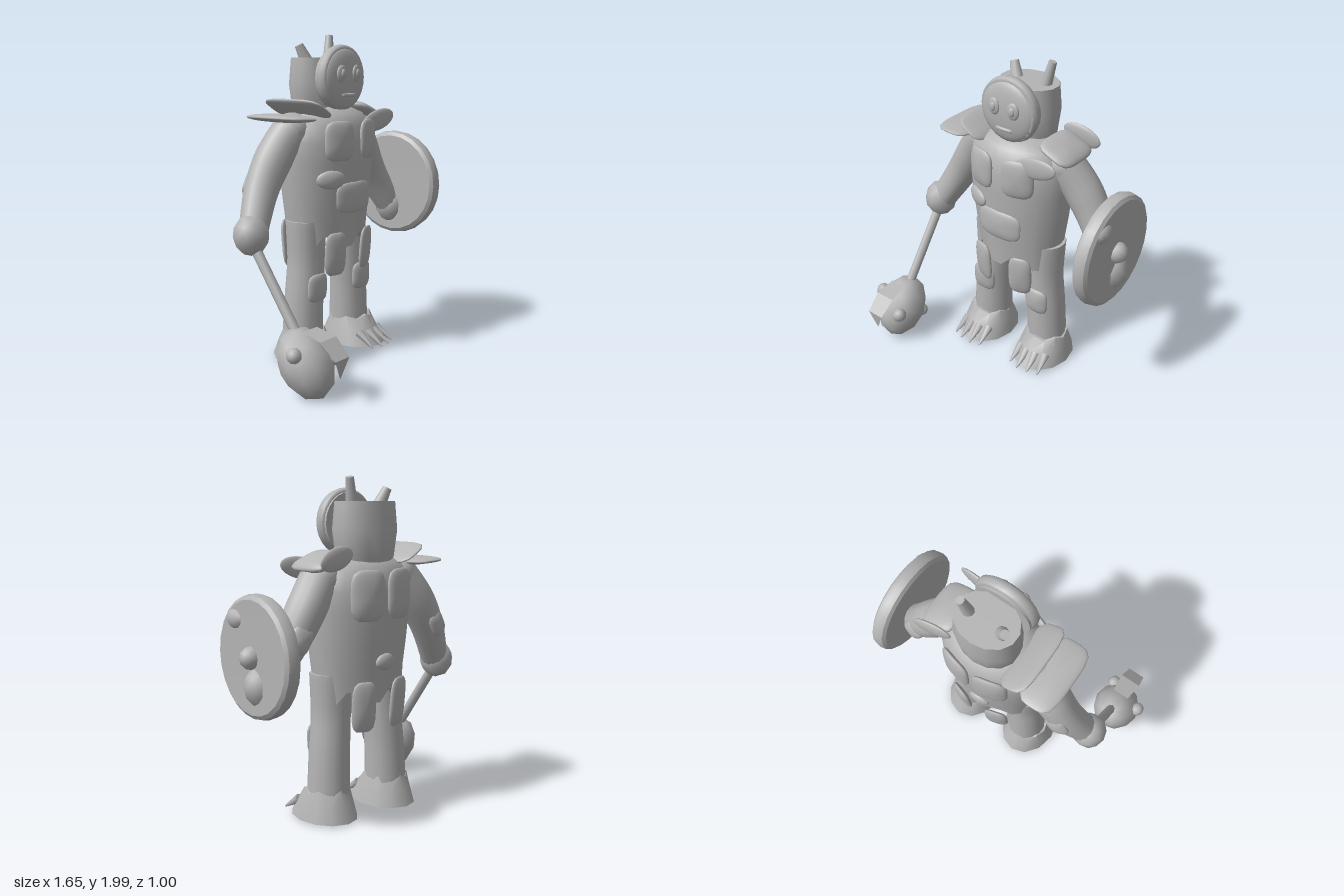
import * as THREE from 'three';
import { mergeVertices, toCreasedNormals } from 'three/addons/utils/BufferGeometryUtils.js';

const grey = new THREE.MeshStandardMaterial({ color: 0xb4b4b4, side: THREE.DoubleSide });
grey.name = 'grey';

export function createModel() {
  const model = new THREE.Group();
  // The body is symmetric about its own axis, slightly off the model's centre
  const body = new THREE.Group();
  body.name = 'body';
  body.position.x = 0.03;
  model.add(body);

  const V = (p) => new THREE.Vector3(...p);
  function add(name, geo, pos = [0, 0, 0], rot = [0, 0, 0]) {
    const m = new THREE.Mesh(geo, grey);
    m.name = name;
    m.position.set(...pos);
    m.rotation.set(...rot, 'ZYX');
    body.add(m);
    return m;
  }
  const weld = (g) => {
    g.deleteAttribute('uv');
    g.deleteAttribute('normal');
    g = mergeVertices(g);
    g.computeVertexNormals();
    return g;
  };
  const lathe = (pts, seg) => new THREE.LatheGeometry(pts.map((p) => new THREE.Vector2(...p)), seg);

  // Thin pillow-shaped plate; square ones have rounded-square outlines, bend curves them round the body
  function plate(name, [w, h, d], pos, rot, { square = true, bend = 0 } = {}) {
    const g = new THREE.SphereGeometry(1, 24, 16).rotateX(Math.PI / 2);
    const p = g.attributes.position;
    for (let i = 0; i < p.count; i++) {
      let x = p.getX(i), y = p.getY(i);
      if (square) {
        const q = (x ** 4 + y ** 4) ** 0.25;
        const s = q > 1e-5 ? Math.hypot(x, y) / q : 1;
        x *= s;
        y *= s;
      }
      x *= w / 2;
      p.setXYZ(i, x, y * h / 2, p.getZ(i) * d / 2 - bend * x * x);
    }
    return add(name, weld(g), pos, rot);
  }

  // Plate laid on the oval torso; side is 1 for the front and -1 for the back
  function torsoPlate(name, size, x, y, side, rx, opts) {
    const rz = rx * 0.72;
    const z = side * 0.72 * Math.sqrt(rx * rx - x * x);
    const turn = Math.atan2(x / (rx * rx), z / (rz * rz));
    return plate(name, size, [x, y, -0.19 + z], [0, turn, 0], { bend: 0.8, ...opts });
  }

  // Tapering limb along a curve
  function limb(name, pts, radii, sides = 14) {
    const curve = new THREE.CatmullRomCurve3(pts.map(V));
    const n = 16;
    const g = new THREE.TubeGeometry(curve, n, 1, sides);
    const p = g.attributes.position, v = new THREE.Vector3();
    for (let i = 0; i < p.count; i++) {
      const t = Math.floor(i / (sides + 1)) / n;
      const f = t * (radii.length - 1), k = Math.min(Math.floor(f), radii.length - 2);
      const c = curve.getPointAt(t);
      v.fromBufferAttribute(p, i).sub(c).multiplyScalar(radii[k] + (radii[k + 1] - radii[k]) * (f - k)).add(c);
      p.setXYZ(i, v.x, v.y, v.z);
    }
    return add(name, weld(g));
  }

  // Straight rod or spike between two points
  function rod(name, a, b, ra, rb, sides = 10) {
    const d = V(b).sub(V(a));
    const m = add(name, new THREE.CylinderGeometry(rb, ra, d.length(), sides));
    m.position.copy(V(a)).addScaledVector(d, 0.5);
    m.quaternion.setFromUnitVectors(new THREE.Vector3(0, 1, 0), d.normalize());
    return m;
  }
  function knob(name, pos, scale, detail = 1) {
    const m = add(name, weld(new THREE.IcosahedronGeometry(1, detail)), pos);
    m.scale.set(...scale);
    return m;
  }

  // Torso with a notched hem
  const torso = lathe([[0, 0.84], [0.285, 0.72], [0.3, 0.86], [0.325, 1.05], [0.345, 1.25], [0.345, 1.36],
    [0.325, 1.45], [0.27, 1.52], [0.17, 1.56], [0, 1.57]], 24);
  const tp = torso.attributes.position;
  for (let i = 0; i < tp.count; i++) {
    if (i % 10 === 1) tp.setY(i, 0.71 + [0, 0, 0.07, 0.08][(Math.floor(i / 10) + 1) % 4]);
  }
  torso.scale(1, 1, 0.72);
  add('torso', toCreasedNormals(torso, 0.7), [0, 0, -0.19]);

  // Head, face mask and horns
  const head = toCreasedNormals(lathe([[0, 1.46], [0.15, 1.47], [0.185, 1.55], [0.205, 1.7], [0.19, 1.86], [0, 1.86]], 14), 0.7);
  head.scale(1, 1, 0.79);
  add('head', head, [0, 0, -0.25]);
  plate('face', [0.37, 0.37, 0.1], [0, 1.735, -0.05], [0, 0, 0], { square: false });
  add('faceRim', new THREE.TorusGeometry(0.177, 0.022, 8, 28), [0, 1.74, -0.07]).scale.z = 1.6;
  add('faceBacking', new THREE.CylinderGeometry(0.18, 0.18, 0.06, 24), [0, 1.735, -0.09], [Math.PI / 2, 0, 0]);
  for (const s of [-1, 1]) {
    plate('eye', [0.08, 0.105, 0.03], [s * 0.068, 1.765, -0.004], [0, s * 0.1, 0], { square: false });
    plate('pupil', [0.038, 0.055, 0.022], [s * 0.068, 1.765, 0.009], [0, s * 0.1, 0], { square: false });
  }
  plate('mouth', [0.12, 0.024, 0.025], [0, 1.636, -0.008], [0, 0, 0]);
  rod('leftHorn', [0.105, 1.84, -0.26], [0.137, 1.995, -0.28], 0.036, 0.024);
  rod('rightHorn', [-0.1, 1.84, -0.26], [-0.14, 1.935, -0.285], 0.04, 0.027);

  // Belly and lower back patches
  torsoPlate('bellyPlate', [0.31, 0.19, 0.05], 0, 1.02, 1, 0.325);
  torsoPlate('sidePatch', [0.19, 0.115, 0.05], -0.185, 1.14, 1, 0.335, { square: false });
  torsoPlate('lowerBackPatch', [0.14, 0.1, 0.05], -0.02, 0.95, -1, 0.315, { square: false });

  for (const s of [-1, 1]) {
    // Chest and back plates, hip flaps
    torsoPlate('chestPlate', [0.205, 0.24, 0.06], s * 0.135, 1.37, 1, 0.345);
    torsoPlate('backPlate', [0.215, 0.29, 0.06], s * 0.118, 1.34, -1, 0.35);
    plate('frontFlap', [0.15, 0.27, 0.05], [s * 0.145, 0.68, 0.01], [0.08, s * 0.3, 0], { bend: 0.8 });
    plate('backFlap', [0.15, 0.3, 0.05], [s * 0.13, 0.7, -0.405], [0.08, Math.PI - s * 0.3, 0], { bend: 0.8 });

    // Leg, knee plate and foot
    limb('leg', [[s * 0.225, 0.15, -0.195], [s * 0.215, 0.4, -0.19], [s * 0.2, 0.62, -0.185], [s * 0.2, 0.88, -0.185]],
      [0.128, 0.122, 0.117, 0.125]);
    add('legTop', new THREE.CylinderGeometry(0.125, 0.125, 0.02, 14), [s * 0.2, 0.87, -0.185]);
    plate('kneePlate', [0.165, 0.175, 0.05], [s * 0.212, 0.47, -0.07], [0.03, 0, 0], { bend: 1.8 });
    const foot = new THREE.CylinderGeometry(0.135, 0.18, 0.18, 12, 2);
    const fp = foot.attributes.position;
    for (let i = 0; i < fp.count; i++) {
      const x = fp.getX(i), y = fp.getY(i), z = fp.getZ(i), low = 0.5 - y / 0.18;
      // Longer sole and a jagged ankle cuff
      const tooth = y > 0.08 && Math.hypot(x, z) > 0.1 && Math.round(Math.atan2(x, z) * 6 / Math.PI) % 2 ? 0.025 : 0;
      fp.setXYZ(i, x, y - tooth, z * (1 + 0.27 * low) + 0.025 * low);
    }
    add('foot', toCreasedNormals(foot, 0.7), [s * 0.23, 0.11, -0.185]);
    for (const dx of [-0.085, -0.025, 0.04, 0.1]) {
      const z = 0.03 - Math.abs(dx) * 0.4;
      rod('claw', [s * (0.225 + dx), 0.1, z - 0.03], [s * (0.23 + dx * 1.15), 0.025, z + 0.085], 0.03, 0.006, 6);
    }

    // Arm, hand and upper arm patch
    limb('arm', [[s * 0.3, 1.43, -0.21], [s * 0.41, 1.28, -0.24], [s * 0.52, 1.1, -0.24], [s * 0.65, 0.87, -0.185]],
      [0.115, 0.115, 0.1, 0.085]);
    knob('shoulder', [s * 0.29, 1.43, -0.21], [0.12, 0.11, 0.12], 2);
    knob('hand', [s * 0.67, 0.86, -0.18], [0.105, 0.122, 0.108]);
    plate('armPatch', [0.13, 0.15, 0.05], [s * 0.52, 1.12, -0.335], [0, Math.PI - s * 0.2, s * 0.5], { bend: 1.5 });
  }

  // Right shoulder: two overlapping slabs
  const flat = -Math.PI / 2;
  plate('outerShoulderSlab', [0.23, 0.45, 0.05], [-0.395, 1.51, -0.195], [flat, 0, -0.06]);
  plate('innerShoulderSlab', [0.215, 0.45, 0.05], [-0.25, 1.56, -0.195], [flat, 0, -0.55]);

  // Left shoulder: pad with a leaf in front and behind
  plate('shoulderPad', [0.24, 0.31, 0.08], [0.3, 1.53, -0.205], [flat, 0, -0.4]);
  plate('frontShoulderLeaf', [0.3, 0.13, 0.04], [0.25, 1.475, 0.025], [0, -0.05, 0.2], { square: false });
  plate('backShoulderLeaf', [0.25, 0.13, 0.04], [0.3, 1.55, -0.37], [0, 0.1, -0.25], { square: false });

  // Round shield and its bosses
  const rim = [[0, -0.045], [0.32, -0.05], [0.342, -0.035], [0.35, 0], [0.342, 0.035], [0.32, 0.05], [0, 0.045]];
  add('shield', toCreasedNormals(lathe(rim, 24), 0.6), [0.678, 1.02, -0.155], [0, 0, flat]);
  knob('shieldBoss', [0.72, 1.02, -0.15], [0.07, 0.067, 0.067]);
  knob('shieldStud', [0.71, 1.22, 0.01], [0.045, 0.06, 0.08]);

  // Club: handle, egg-shaped head, knobs and a bent spike plate
  rod('clubHandle', [-0.67, 0.86, -0.2], [-0.67, 0.3, 0.2], 0.03, 0.03, 8);
  const clubHead = knob('clubHead', [-0.678, 0.198, 0.243], [0.155, 0.215, 0.155]);
  clubHead.rotation.x = -0.62;
  knob('clubKnob', [-0.815, 0.285, 0.28], [0.042, 0.046, 0.046]);
  knob('clubKnob', [-0.58, 0.235, 0.37], [0.045, 0.046, 0.046]);
  knob('clubKnob', [-0.62, 0.115, 0.12], [0.045, 0.046, 0.042]);
  const spike = new THREE.PlaneGeometry(1, 1, 1, 3);
  const sp = spike.attributes.position;
  const rows = [[0.056, 0.395, 0.27], [0.068, 0.365, 0.4], [0.058, 0.275, 0.5], [0.003, 0.165, 0.485]];
  rows.forEach(([w, y, z], r) => [-1, 1].forEach((s, k) => sp.setXYZ(r * 2 + k, s * w, y, z)));
  add('clubSpike', toCreasedNormals(spike, 0.3), [-0.672, 0, 0]);

  return model;
}
